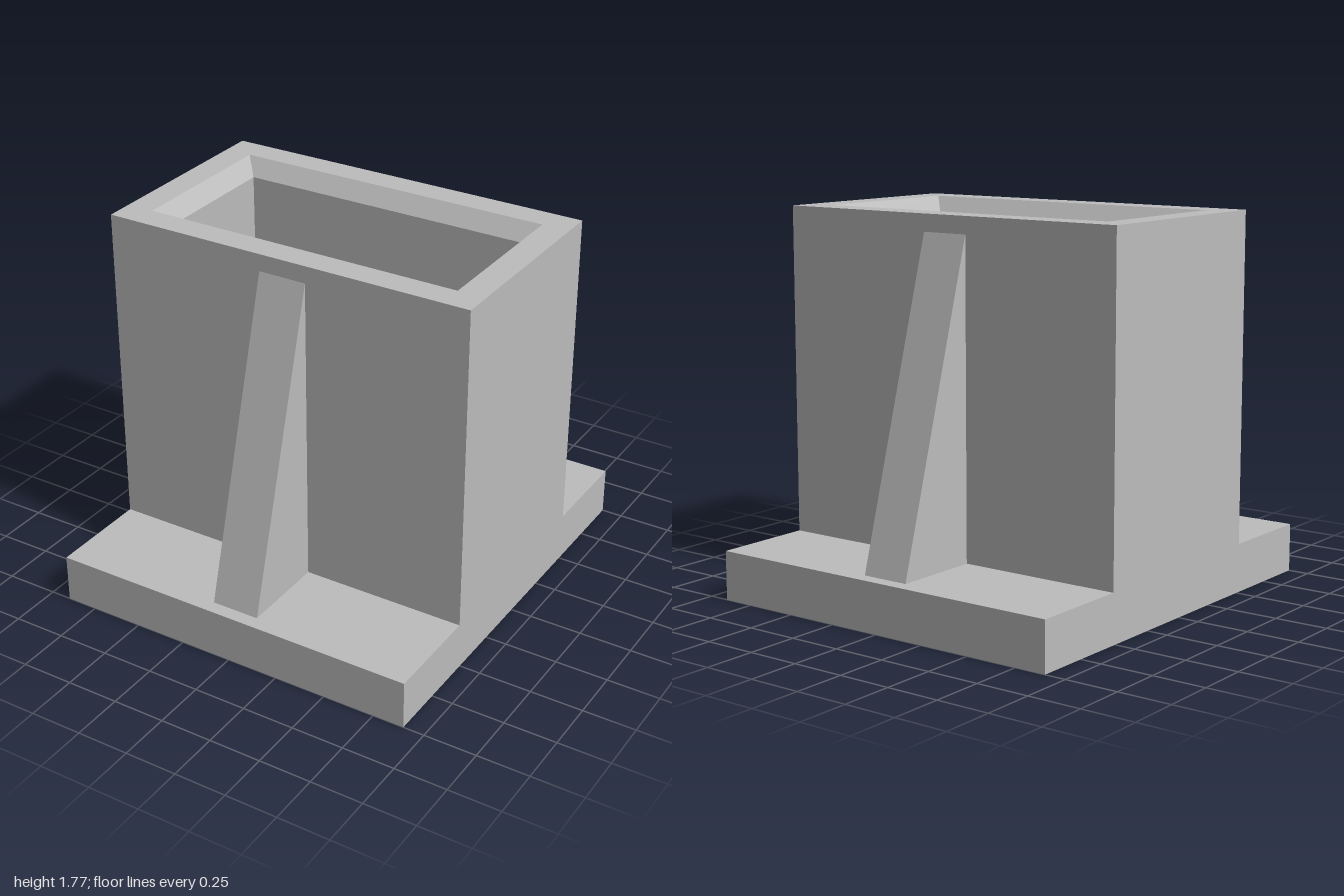
import * as THREE from 'three';

const BASE_H = 0.23, TOP = 1.77;

// Open rectangular shell lofted through sections [halfX, y, halfZ]
function loftRects(sections) {
  const pos = [];
  const corners = ([x, y, z]) => [[-x, y, z], [x, y, z], [x, y, -z], [-x, y, -z]];
  for (let i = 0; i < sections.length - 1; i++) {
    const lo = corners(sections[i]), hi = corners(sections[i + 1]);
    for (let k = 0; k < 4; k++) {
      const n = (k + 1) % 4;
      pos.push(...lo[k], ...lo[n], ...hi[n], ...lo[k], ...hi[n], ...hi[k]);
    }
  }
  const geo = new THREE.BufferGeometry();
  geo.setAttribute('position', new THREE.Float32BufferAttribute(pos, 3));
  geo.computeVertexNormals();
  return geo;
}

export function createModel() {
  const group = new THREE.Group();
  const grey = new THREE.MeshStandardMaterial({ color: 0xbcbcbc });
  grey.name = 'plain grey';

  const add = (name, geo) => {
    const mesh = new THREE.Mesh(geo, grey);
    mesh.name = name;
    group.add(mesh);
    return mesh;
  };

  // Base slab, whose top is also the socket floor
  add('basePlate', new THREE.BoxGeometry(1.8, BASE_H, 2)).position.y = BASE_H / 2;

  // Socket: outer wall, rim, chamfered lip, inner wall
  add('socket', loftRects([
    [0.9, BASE_H, 0.515],
    [0.9, TOP, 0.515],
    [0.77, TOP, 0.385],
    [0.71, TOP - 0.08, 0.325],
    [0.71, BASE_H, 0.325],
  ]));

  // Triangular stiffening ribs, front and back
  const ribShape = new THREE.Shape([
    new THREE.Vector2(0.515, BASE_H),
    new THREE.Vector2(0.935, BASE_H),
    new THREE.Vector2(0.515, 1.69),
  ]);
  const ribGeo = new THREE.ExtrudeGeometry(ribShape, { depth: 0.23, bevelEnabled: false });
  ribGeo.translate(0, 0, -0.115);
  add('frontRib', ribGeo).rotation.y = -Math.PI / 2;
  add('backRib', ribGeo).rotation.y = Math.PI / 2;

  return group;
}
